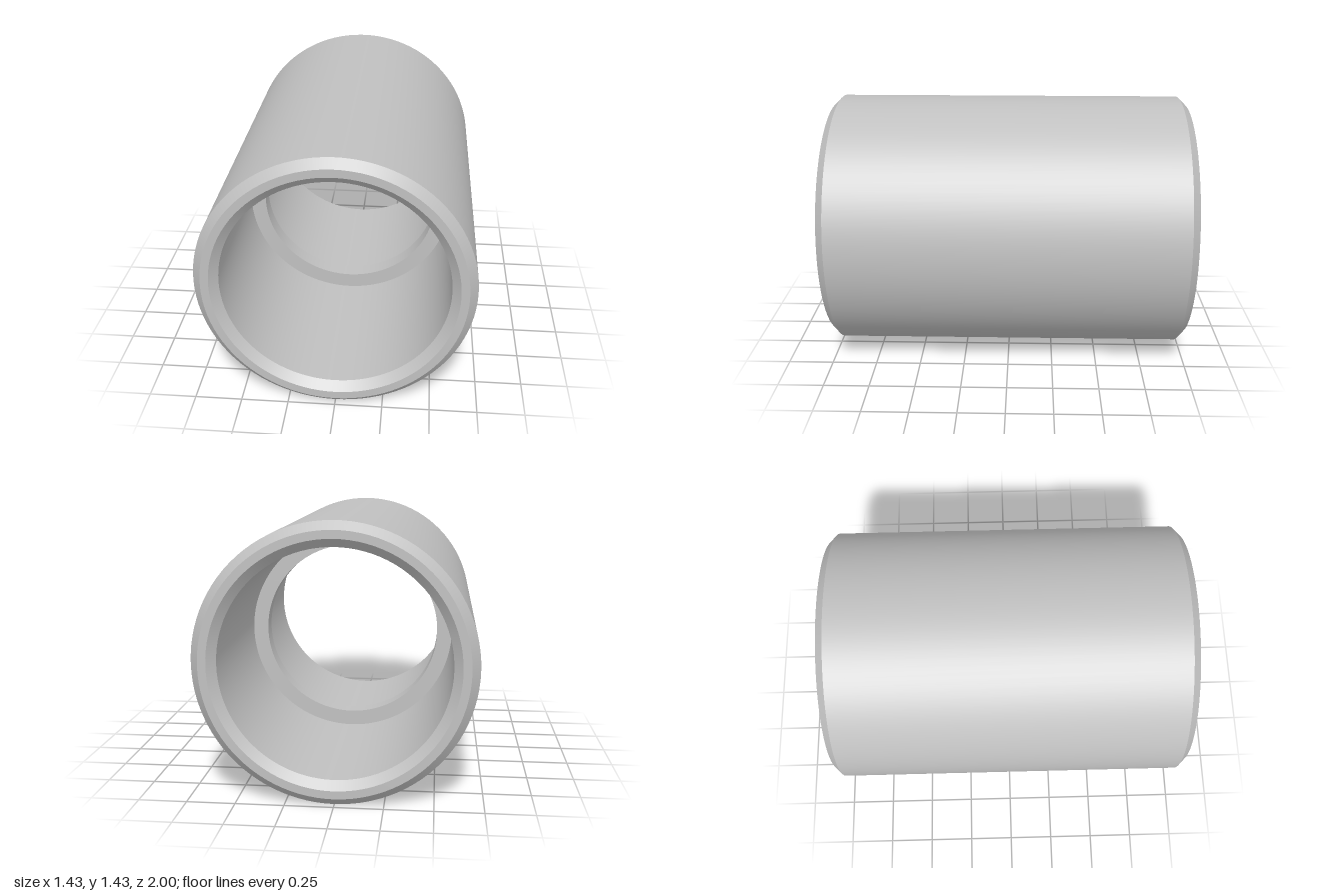
import * as THREE from 'three';

const OUTER = 0.713;   // outside radius
const BORE = 0.585;    // socket radius
const STOP = 0.5;      // radius inside the central stop
const CHAMFER = 0.043;
const HALF = 1;        // half length
const STOP_HALF = 0.05;

export function createModel() {
  const model = new THREE.Group();
  model.name = 'pipeCoupling';
  const grey = new THREE.MeshStandardMaterial({ color: 0xc0c0c0 });
  grey.name = 'light grey';

  // Each band of the profile is its own lathe, so edges between bands stay sharp
  const band = (name, r1, z1, r2, z2) => {
    const geometry = new THREE.LatheGeometry(
      [new THREE.Vector2(r1, z1), new THREE.Vector2(r2, z2)], 96);
    geometry.rotateX(Math.PI / 2);
    const mesh = new THREE.Mesh(geometry, grey);
    mesh.name = name;
    mesh.position.y = OUTER;
    model.add(mesh);
  };

  const shoulder = HALF - CHAMFER;
  band('outerWall', OUTER, -shoulder, OUTER, shoulder);
  band('stopInnerWall', STOP, STOP_HALF, STOP, -STOP_HALF);

  // Half profile from the outside edge, over the rim, down to the central stop
  const profile = [
    ['OuterChamfer', OUTER, shoulder],
    ['Rim', OUTER - CHAMFER, HALF],
    ['InnerChamfer', BORE + CHAMFER, HALF],
    ['Socket', BORE, shoulder],
    ['StopFace', BORE, STOP_HALF],
    ['', STOP, STOP_HALF],
  ];
  for (let i = 0; i < profile.length - 1; i++) {
    const [name, r1, z1] = profile[i];
    const [, r2, z2] = profile[i + 1];
    band('front' + name, r1, z1, r2, z2);
    band('back' + name, r2, -z2, r1, -z1);
  }
  return model;
}
